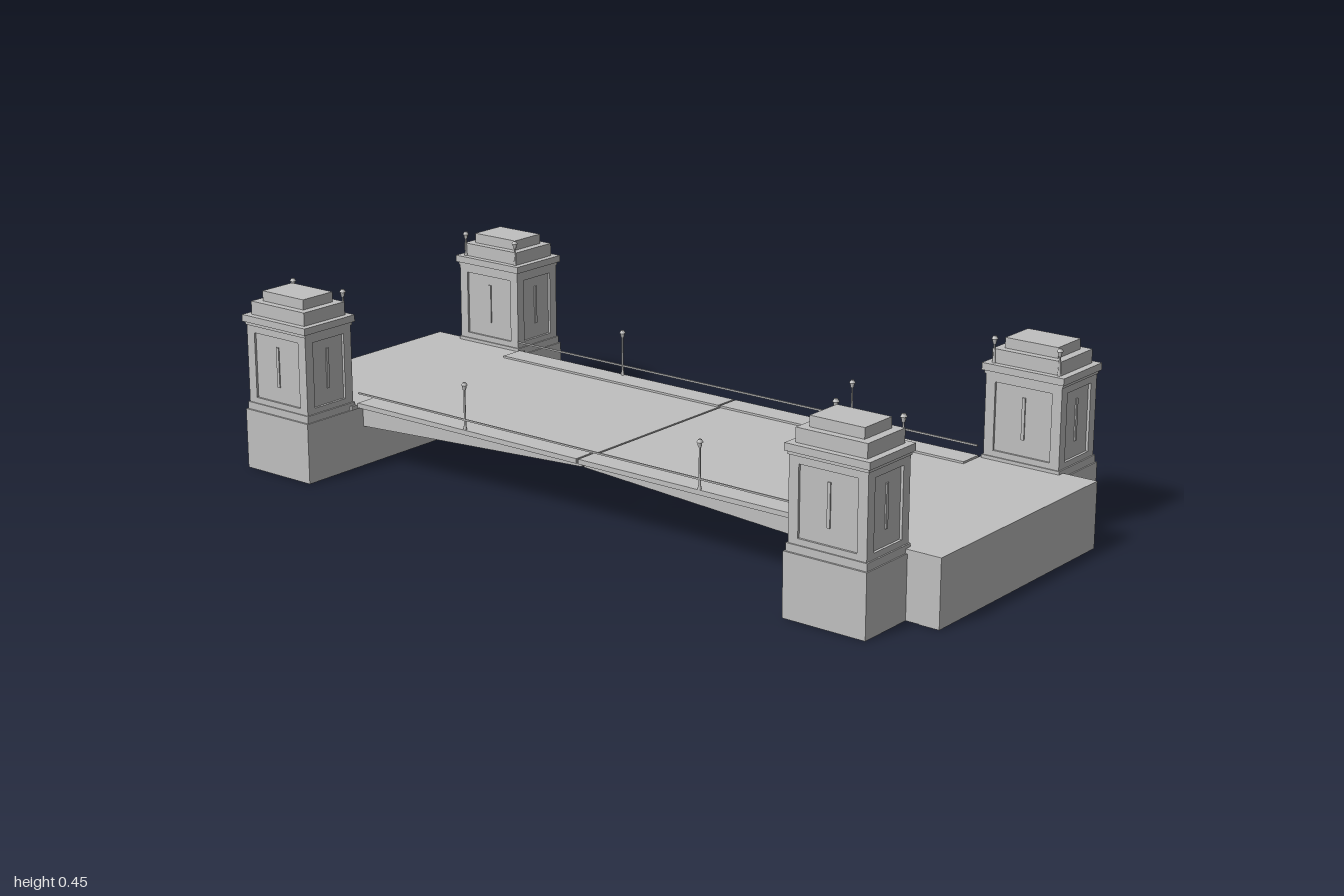
import * as THREE from 'three';

const stone = new THREE.MeshStandardMaterial({ color: 0xc0c0c0 });
stone.name = 'pale grey stone';

// Box given by its lower and upper limits on each axis
function block(parent, name, [x0, x1], [y0, y1], [z0, z1]) {
  const mesh = new THREE.Mesh(new THREE.BoxGeometry(x1 - x0, y1 - y0, z1 - z0), stone);
  mesh.position.set((x0 + x1) / 2, (y0 + y1) / 2, (z0 + z1) / 2);
  mesh.name = name;
  parent.add(mesh);
  return mesh;
}

// Box centred on the y axis, by half widths
const tier = (parent, name, hx, hz, y0, y1) =>
  block(parent, name, [-hx, hx], [y0, y1], [-hz, hz]);

// Lamp standing on y = 0: foot, post, flared lantern and cap
function createLamp(height) {
  const lamp = new THREE.Group();
  lamp.name = 'lamp';
  const part = (name, rTop, rBottom, y0, y1) => {
    const mesh = new THREE.Mesh(new THREE.CylinderGeometry(rTop, rBottom, y1 - y0, 8), stone);
    mesh.position.y = (y0 + y1) / 2;
    mesh.name = name;
    lamp.add(mesh);
  };
  part('lampFoot', 0.003, 0.005, 0, 0.012);
  part('lampPost', 0.002, 0.003, 0.01, height - 0.015);
  part('lantern', 0.006, 0.004, height - 0.018, height - 0.005);
  part('lanternCap', 0.004, 0.008, height - 0.007, height);
  return lamp;
}

// Tower with its inner side facing -z
function createTower() {
  const tower = new THREE.Group();
  tower.name = 'tower';
  tier(tower, 'pierBase', 0.106, 0.075, 0, 0.15);
  tier(tower, 'plinth', 0.103, 0.08, 0.15, 0.168);
  tier(tower, 'shaftCore', 0.093, 0.071, 0.168, 0.37);
  tier(tower, 'lowerBand', 0.0995, 0.0765, 0.168, 0.182);
  tier(tower, 'upperBand', 0.0995, 0.0765, 0.345, 0.365);
  for (const sx of [-1, 1]) {
    for (const sz of [-1, 1]) {
      const pilaster = tier(tower, 'cornerPilaster', 0.0125, 0.0125, 0.168, 0.365);
      pilaster.position.x = sx * 0.087;
      pilaster.position.z = sz * 0.064;
    }
    // Slender window strips in the panels
    const sideSlit = tier(tower, 'windowSlit', 0.002, 0.004, 0.22, 0.32);
    sideSlit.position.x = sx * 0.094;
    const faceSlit = tier(tower, 'windowSlit', 0.004, 0.002, 0.22, 0.32);
    faceSlit.position.z = sx * 0.072;
    // Lamps on the cornice corners beside the road
    const lamp = createLamp(0.064);
    lamp.position.set(sx * 0.085, 0.386, -0.068);
    tower.add(lamp);
  }
  tier(tower, 'corniceBed', 0.102, 0.079, 0.362, 0.372);
  tier(tower, 'cornice', 0.107, 0.084, 0.37, 0.387);
  tier(tower, 'roofStep', 0.09, 0.068, 0.387, 0.42);
  tier(tower, 'roofCap', 0.069, 0.049, 0.42, 0.445);
  return tower;
}

// Girder web: level on top, rising underneath towards midspan
function createGirder(side) {
  const shape = new THREE.Shape();
  shape.moveTo(side * 0.003, 0.14);
  shape.lineTo(side * 0.71, 0.1);
  shape.lineTo(side * 0.71, 0.155);
  shape.lineTo(side * 0.003, 0.155);
  const mesh = new THREE.Mesh(
    new THREE.ExtrudeGeometry(shape, { depth: 0.014, bevelEnabled: false }), stone);
  mesh.name = 'girder';
  return mesh;
}

export function createModel() {
  const model = new THREE.Group();
  model.name = 'bridge';

  for (const s of [-1, 1]) {
    const span = (a, b) => (s > 0 ? [a, b] : [-b, -a]);

    // Hollow abutment: end wall, inner wall, wing walls and road slab
    const abutment = new THREE.Group();
    abutment.name = 'abutment';
    model.add(abutment);
    block(abutment, 'abutmentSlab', span(0.7, 1), [0.15, 0.16], [-0.318, 0.318]);
    block(abutment, 'endWall', span(0.95, 1), [0, 0.15], [-0.318, 0.318]);
    block(abutment, 'innerWall', span(0.703, 0.78), [0, 0.15], [-0.316, 0.316]);

    // Half span with a narrow joint at the middle
    const leaf = new THREE.Group();
    leaf.name = 'spanLeaf';
    model.add(leaf);
    block(leaf, 'roadDeck', span(0.003, 0.7), [0.152, 0.16], [-0.295, 0.295]);
    block(leaf, 'jointBeam', span(0.003, 0.012), [0.14, 0.152], [-0.277, 0.277]);
    for (const z of [-0.27, -0.09, 0.09, 0.27]) {
      const girder = createGirder(s);
      girder.position.z = z - 0.007;
      leaf.add(girder);
    }

    for (const t of [-1, 1]) {
      const across = (a, b) => (t > 0 ? [a, b] : [-b, -a]);
      block(abutment, 'wingWall', span(0.78, 0.95), [0, 0.15], across(0.25, 0.316));
      block(leaf, 'footway', span(0.003, 0.7), [0.153, 0.165], across(0.235, 0.298));
      block(leaf, 'handrail', span(0, 0.7), [0.187, 0.191], across(0.291, 0.295));

      const lamp = createLamp(0.117);
      lamp.position.set(s * 0.35, 0.164, t * 0.293);
      leaf.add(lamp);

      const tower = createTower();
      tower.position.set(s * 0.809, 0, t * 0.39);
      // Upper tower sits slightly nearer the road than its base
      for (const part of tower.children) if (part.name !== 'pierBase') part.position.z -= 0.01;
      tower.rotation.y = t > 0 ? 0 : Math.PI;
      model.add(tower);
    }
  }
  return model;
}
